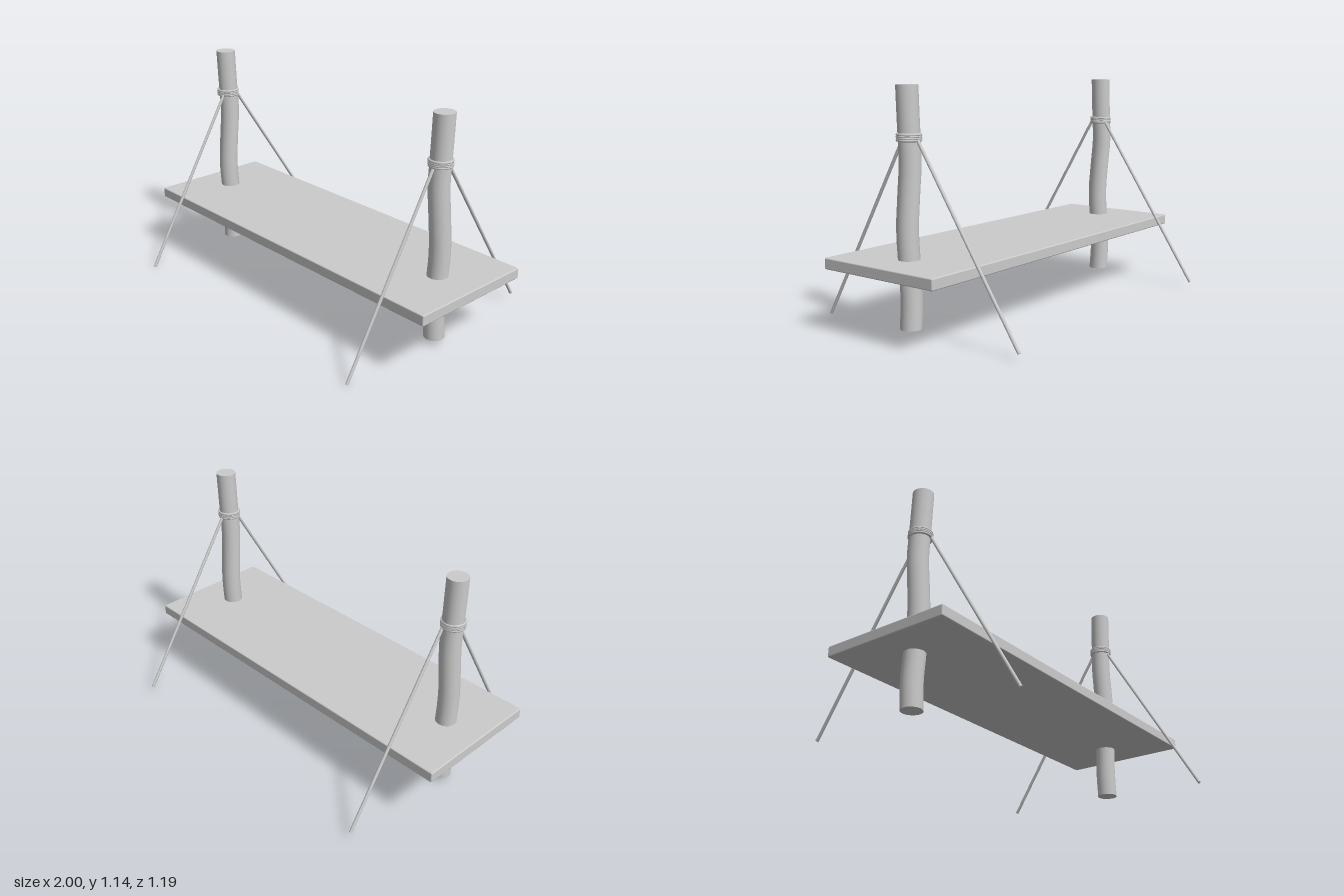
import * as THREE from 'three';
import { RoundedBoxGeometry } from 'three/addons/geometries/RoundedBoxGeometry.js';

const material = new THREE.MeshStandardMaterial({ color: 0xcccccc });
const CENTRE_Z = 0.027;

// sideways drift of a post along its height: (offset, y)
const bend = new THREE.CatmullRomCurve3([
  [0, 0.03], [-0.008, 0.17], [0, 0.3], [0.011, 0.5], [0, 0.65], [-0.013, 0.8], [-0.008, 0.93], [0, 1.14],
].map(([o, y]) => new THREE.Vector3(o, y, 0)));
const bendPoints = bend.getPoints(120);

function bendAt(y) {
  const i = bendPoints.findIndex((p) => p.y >= y - 1e-6);
  return bendPoints[i < 0 ? bendPoints.length - 1 : i].x;
}

function addMesh(parent, name, geometry) {
  const mesh = new THREE.Mesh(geometry, material);
  mesh.name = name;
  parent.add(mesh);
  return mesh;
}

// crooked pole, bent along one horizontal axis
function postGeometry(axis) {
  const geometry = new THREE.CylinderGeometry(0.051, 0.051, 1.11, 24, 28);
  geometry.translate(0, 0.585, 0);
  const pos = geometry.attributes.position;
  for (let i = 0; i < pos.count; i++) {
    const d = bendAt(pos.getY(i));
    if (axis === 'x') pos.setX(i, pos.getX(i) + d);
    else pos.setZ(i, pos.getZ(i) + d);
  }
  return geometry;
}

// straight rope between two points
function addRope(parent, name, from, to) {
  const direction = to.clone().sub(from);
  const rope = addMesh(parent, name, new THREE.CylinderGeometry(0.008, 0.008, direction.length(), 10));
  rope.position.copy(from).add(to).multiplyScalar(0.5);
  rope.quaternion.setFromUnitVectors(new THREE.Vector3(0, 1, 0), direction.normalize());
}

function addSupport(parent, name, x, ropeX, axis) {
  const support = new THREE.Group();
  support.name = name;
  parent.add(support);

  const post = addMesh(support, 'post', postGeometry(axis));
  post.position.set(x, 0, CENTRE_Z);

  // rope binding wound round the post
  const shift = bendAt(0.908);
  for (let i = 0; i < 4; i++) {
    const ring = addMesh(support, 'binding', new THREE.TorusGeometry(0.053, 0.0065, 8, 28));
    ring.rotation.x = Math.PI / 2;
    ring.position.set(x + (axis === 'x' ? shift : 0), 0.894 + i * 0.0085, CENTRE_Z + (axis === 'z' ? shift / 2 : 0));
  }

  // guy ropes to the ground
  addRope(support, 'frontRope', new THREE.Vector3(ropeX, 0.9, 0.067), new THREE.Vector3(ropeX, 0.004, 0.588));
  addRope(support, 'backRope', new THREE.Vector3(ropeX, 0.9, -0.02), new THREE.Vector3(ropeX, 0.032, -0.589));
}

export function createModel() {
  const model = new THREE.Group();
  model.name = 'hangingShelf';

  // plank with softened edges
  const plank = addMesh(model, 'plank', new RoundedBoxGeometry(2, 0.054, 0.67, 2, 0.006));
  plank.position.set(0, 0.327, 0.025);

  addSupport(model, 'rightSupport', -0.8, -0.778, 'z');
  addSupport(model, 'leftSupport', 0.785, 0.774, 'x');
  return model;
}
